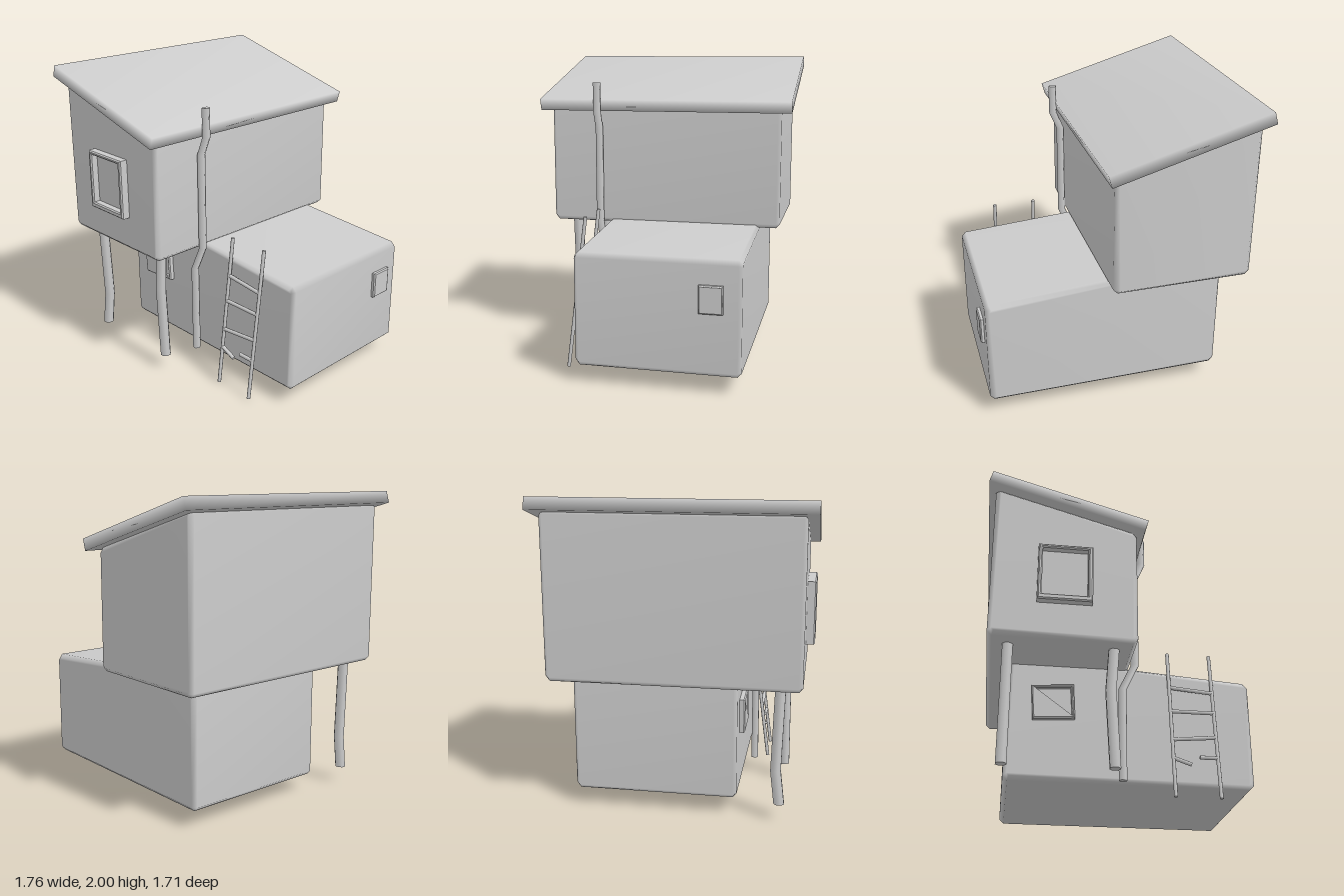
import * as THREE from 'three';
import { mergeVertices } from 'three/addons/utils/BufferGeometryUtils.js';

const grey = new THREE.MeshStandardMaterial({ color: 0xcccccc });
const greyDouble = new THREE.MeshStandardMaterial({ color: 0xcccccc, side: THREE.DoubleSide });

function add(parent, name, geometry, material = grey) {
  const mesh = new THREE.Mesh(geometry, material);
  mesh.name = name;
  parent.add(mesh);
  return mesh;
}

// share corners so that shading runs softly over the bevels
function soften(geometry) {
  geometry.deleteAttribute('uv');
  geometry.deleteAttribute('normal');
  const merged = mergeVertices(geometry, 1e-4);
  merged.computeVertexNormals();
  return merged;
}

const toVectors = (points) => points.map(([x, y]) => new THREE.Vector2(x, y));

// polygon with every corner cut off by a fixed length
function chamfer(points, cut) {
  const v = toVectors(points);
  return v.flatMap((p, i) => [v[(i + v.length - 1) % v.length], v[(i + 1) % v.length]].map((q) =>
    p.clone().add(q.clone().sub(p).setLength(cut))));
}

// front profile extruded from z0 to z1 with bevelled edges
function bevelledBlock(points, z0, z1, bevel) {
  const geometry = new THREE.ExtrudeGeometry(new THREE.Shape(chamfer(points, bevel * 1.2)), {
    depth: z1 - z0 - 2 * bevel, bevelEnabled: true, bevelSegments: 1,
    bevelSize: bevel, bevelThickness: bevel, bevelOffset: -bevel
  });
  return soften(geometry.translate(0, 0, z0 + bevel));
}

// upright post whose rings follow a list of [x, y, z] centres
function bentPost(centres, radius, sides) {
  const rows = centres.length - 1;
  const geometry = new THREE.CylinderGeometry(radius, radius, rows, sides, rows);
  geometry.rotateY(Math.PI / sides);
  const pos = geometry.attributes.position;
  for (let i = 0; i < pos.count; i++) {
    const [x, y, z] = centres[Math.round(pos.getY(i) + rows / 2)];
    pos.setXYZ(i, pos.getX(i) + x, y, pos.getZ(i) + z);
  }
  return geometry;
}

// round bar between two points
function bar(parent, name, a, b, radius) {
  const from = new THREE.Vector3(...a), to = new THREE.Vector3(...b);
  const mesh = add(parent, name, new THREE.CylinderGeometry(radius, radius, from.distanceTo(to), 8));
  mesh.position.copy(from).lerp(to, 0.5);
  mesh.quaternion.setFromUnitVectors(new THREE.Vector3(0, 1, 0), to.sub(from).normalize());
}

// raised frame around a sunken pane, facing +z
function windowFrame(name, outer, inner, depth) {
  const group = new THREE.Group();
  group.name = name;
  const shape = new THREE.Shape(toVectors(outer));
  shape.holes.push(new THREE.Path(toVectors(inner)));
  const bevel = 0.008;
  const frame = new THREE.ExtrudeGeometry(shape, {
    depth: depth - bevel, bevelEnabled: true, bevelSegments: 1,
    bevelSize: bevel, bevelThickness: bevel, bevelOffset: -bevel
  });
  add(group, name + 'Frame', frame);
  add(group, name + 'Pane', new THREE.ShapeGeometry(new THREE.Shape(toVectors(inner))), greyDouble).position.z = 0.006;
  return group;
}

const rect = (x0, y0, x1, y1) => [[x0, y0], [x1, y0], [x1, y1], [x0, y1]];

export function createModel() {
  const model = new THREE.Group();
  model.name = 'stiltHouse';

  // two storeys with sloping tops
  add(model, 'lowerStorey', bevelledBlock(
    [[-0.7, 0.11], [0.855, 0.11], [0.855, 0.83], [-0.7, 0.943]], -0.65, 0.39, 0.024));
  add(model, 'upperStorey', bevelledBlock(
    [[-0.84, 0.87], [0.07, 0.87], [0.07, 1.665], [-0.84, 1.925]], -0.785, 0.79, 0.024));

  // slanted roof slab
  const roof = new THREE.ExtrudeGeometry(new THREE.Shape(toVectors(
    [[-0.885, 1.925], [0.113, 1.64], [0.135, 1.715], [-0.863, 2.0]])), { depth: 1.71, bevelEnabled: false });
  add(model, 'roof', soften(roof.translate(0, 0, -0.855)));

  // windows
  const upper = windowFrame('upperWindow',
    rect(-0.555, 1.1, -0.215, 1.49), rect(-0.528, 1.137, -0.245, 1.465), 0.055);
  upper.position.z = 0.79;
  const crooked = windowFrame('crookedWindow',
    [[-0.535, 0.495], [-0.273, 0.51], [-0.285, 0.737], [-0.55, 0.72]],
    [[-0.522, 0.515], [-0.292, 0.532], [-0.303, 0.715], [-0.531, 0.703]], 0.035);
  crooked.position.z = 0.39;
  const side = windowFrame('sideWindow',
    rect(0.39, 0.505, 0.54, 0.68), rect(0.404, 0.52, 0.526, 0.665), 0.025);
  side.position.x = 0.855;
  side.rotation.y = Math.PI / 2;
  model.add(upper, crooked, side);

  // crooked stilts under the overhang
  add(model, 'rightStilt', bentPost(
    [[-0.713, 0.11, 0.66], [-0.713, 0.33, 0.635], [-0.713, 0.9, 0.655]], 0.035, 8));
  add(model, 'leftStilt', bentPost(
    [[-0.057, 0.11, 0.66], [-0.083, 0.6, 0.66], [-0.062, 0.9, 0.66]], 0.035, 8));

  // bent chimney pipe
  add(model, 'pipe', bentPost([[0.02, 0.11, 0.445], [0.02, 0.71, 0.445], [0.1, 0.88, 0.445],
    [0.1, 1.52, 0.445], [0.15, 1.64, 0.445], [0.15, 1.83, 0.445]], 0.026, 6));

  // leaning ladder, its lowest rung broken in two
  const ladder = new THREE.Group();
  ladder.name = 'ladder';
  const at = (x, y) => [x, y, 0.518 - 0.13 * y];
  for (const x of [0.325, 0.602]) bar(ladder, 'ladderRail', at(x, 0.002), at(x, 1.005), 0.012);
  for (const [x0, y0, x1, y1] of [[0.325, 0.752, 0.602, 0.725], [0.325, 0.58, 0.602, 0.58],
    [0.325, 0.382, 0.602, 0.407], [0.325, 0.257, 0.435, 0.217], [0.49, 0.267, 0.602, 0.267]]) {
    bar(ladder, 'ladderRung', at(x0, y0), at(x1, y1), 0.013);
  }
  model.add(ladder);

  return model;
}
